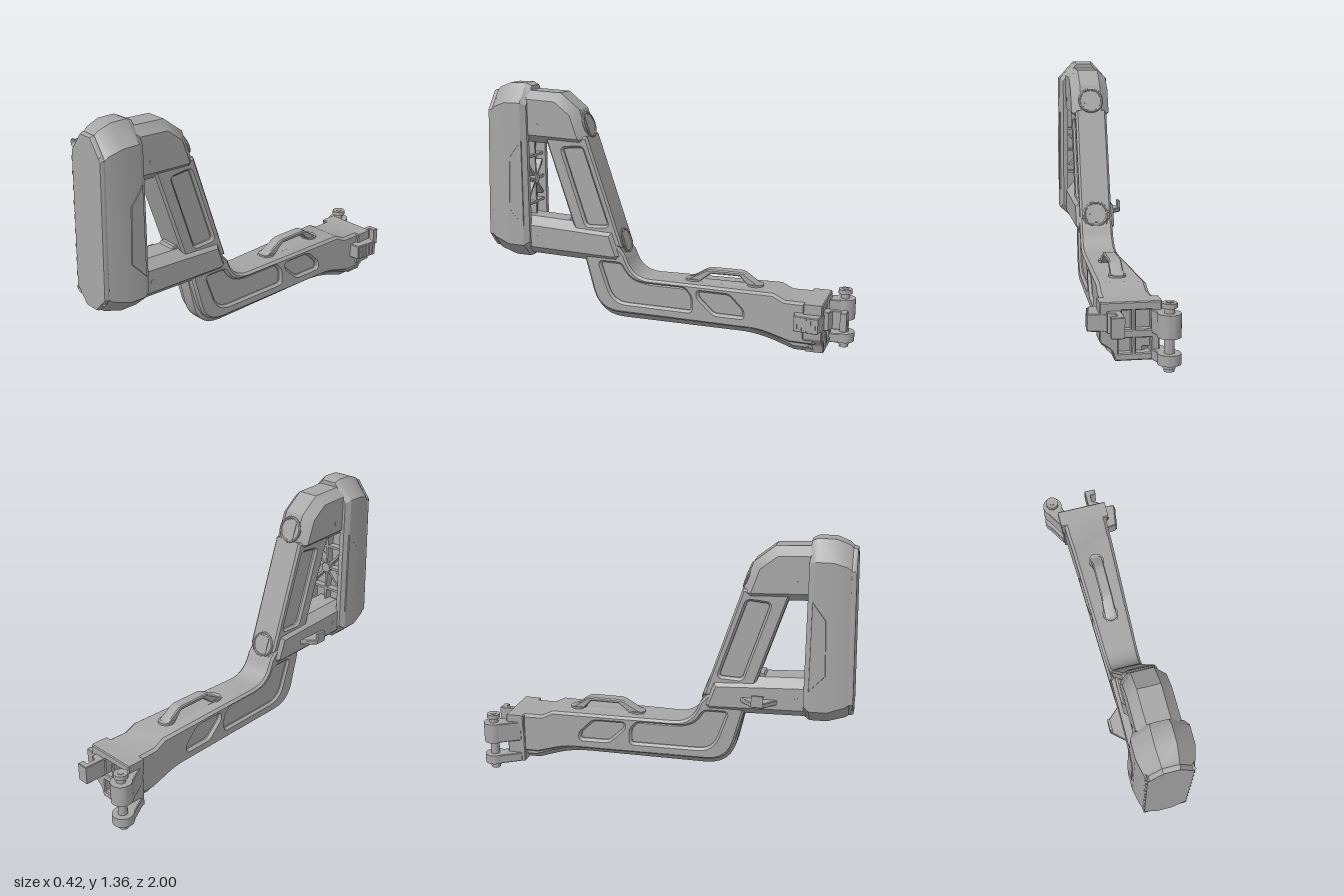
import * as THREE from 'three';
import { toCreasedNormals } from 'three/addons/utils/BufferGeometryUtils.js';

const grey = new THREE.MeshStandardMaterial({ color: 0xa6a6a6 });
grey.name = 'grey polymer';
const CX = 0.005; // centre line of the stock

export function createModel() {
  const model = new THREE.Group();
  model.name = 'foldingStock';

  const add = (name, geo, x = 0, y = 0, z = 0) => {
    const mesh = new THREE.Mesh(toCreasedNormals(geo, 0.5), grey);
    mesh.name = name;
    mesh.position.set(x, y, z);
    model.add(mesh);
    return mesh;
  };
  const box = (name, w, h, d, x, y, z) => add(name, new THREE.BoxGeometry(w, h, d), x, y, z);
  const cyl = (name, r, y0, y1, x, z, n = 28) =>
    add(name, new THREE.CylinderGeometry(r, r, y1 - y0, n), x, (y0 + y1) / 2, z);

  // closed outline; a third number on a point rounds that corner
  const outline = (pts) => {
    const s = new THREE.Shape();
    pts.forEach(([x, y, r = 0], i) => {
      const toward = (q) => {
        const dx = q[0] - x, dy = q[1] - y, k = r / Math.hypot(dx, dy);
        return [x + dx * k, y + dy * k];
      };
      const a = toward(pts.at(i - 1)), b = toward(pts[(i + 1) % pts.length]);
      if (i) s.lineTo(...a); else s.moveTo(...a);
      if (r) s.quadraticCurveTo(x, y, ...b);
    });
    s.closePath();
    return s;
  };
  const extrude = (shape, total, size = 0, thick = size) => {
    const depth = total - 2 * thick;
    const geo = new THREE.ExtrudeGeometry(shape, {
      depth, curveSegments: 6, bevelEnabled: size > 0, bevelSegments: 1,
      bevelSize: size, bevelThickness: thick, bevelOffset: -size,
    });
    return geo.translate(0, 0, -depth / 2);
  };
  // side profile in (z, y), extruded across x
  const profile = (pts, half, size, thick, holes = []) => {
    const s = outline(pts);
    s.holes = holes.map(outline);
    return extrude(s, half * 2, size, thick).rotateY(-Math.PI / 2);
  };
  // plan outline in (x, z), between two heights
  const plan = (pts, y0, y1, bevel = 0.004) =>
    extrude(outline(pts), y1 - y0, bevel).rotateX(Math.PI / 2).translate(0, (y0 + y1) / 2, 0);
  const moveVertices = (geo, rule) => {
    const p = geo.attributes.position, v = new THREE.Vector3();
    for (let i = 0; i < p.count; i++) {
      rule(v.fromBufferAttribute(p, i));
      p.setXYZ(i, v.x, v.y, v.z);
    }
    geo.computeVertexNormals();
    return geo;
  };

  // ---- recoil pad: lofted octagons with a hollow back
  const lean = (v) => { if (v.z > 0.9) v.z += (0.88 - v.y) * 0.03; };
  const octagon = (w, b, t) => [
    [w, b + 0.08], [w, t - 0.1], [w * 0.35, t], [-w * 0.35, t],
    [-w, t - 0.1], [-w, b + 0.08], [-w * 0.35, b], [w * 0.35, b]];
  const rings = [ // z, half width, bottom, top
    [0.80, 0.095, 0.46, 1.30], [0.745, 0.095, 0.46, 1.30], [0.745, 0.122, 0.42, 1.345],
    [0.775, 0.14, 0.40, 1.36], [0.865, 0.14, 0.402, 1.36], [0.945, 0.122, 0.432, 1.335],
    [0.962, 0.116, 0.445, 1.318]];
  const pos = [], idx = [];
  rings.forEach(([z, w, b, t], i) => {
    octagon(w, b, t).forEach(([x, y]) => pos.push(x, y, z));
    for (let j = 0; j < 8 && i < rings.length - 1; j++) {
      const a = i * 8 + j, c = i * 8 + (j + 1) % 8;
      idx.push(a, c, c + 8, a, c + 8, a + 8);
    }
  });
  const last = (rings.length - 1) * 8;
  for (let j = 1; j < 7; j++) idx.push(0, j + 1, j, last, last + j, last + j + 1);
  const pad = new THREE.BufferGeometry();
  pad.setAttribute('position', new THREE.Float32BufferAttribute(pos, 3));
  pad.setIndex(idx);
  add('recoilPad', moveVertices(pad, lean), CX);

  // grooved front face
  const face = outline(octagon(0.116, 0.445, 1.318));
  for (let i = 0; i < 11; i++) {
    const y = 0.517 + i * 0.0735, slot = new THREE.Path();
    slot.absarc(0.092, y, 0.018, -Math.PI / 2, Math.PI / 2);
    slot.absarc(-0.092, y, 0.018, Math.PI / 2, Math.PI * 1.5);
    slot.closePath();
    face.holes.push(slot);
  }
  add('groovedFace', moveVertices(extrude(face, 0.035, 0.006, 0.012).translate(0, 0, 0.9675), lean), CX);
  for (const s of [1, -1]) {
    add('padSidePanel', profile([[0.77, 1.06], [0.84, 0.97], [0.853, 0.68], [0.77, 0.59]], 0.004, 0.002),
      CX + s * 0.14);
  }
  // lattice inside the pad
  for (const [angle, length] of [[0, 0.19], [90, 0.8], [48, 0.25], [-48, 0.25]]) {
    box('padRib', length, 0.013, 0.045, CX, 0.83, 0.78).rotation.z = angle * Math.PI / 180;
  }
  for (const y of [0.7, 0.96]) box('padCrossRib', 0.19, 0.013, 0.045, CX, y, 0.78);
  add('padHub', new THREE.CylinderGeometry(0.028, 0.028, 0.055, 20).rotateX(Math.PI / 2), CX, 0.83, 0.778);

  // ---- upper and lower arms
  add('upperArm', profile([[0.79, 1.325], [0.57, 1.315], [0.463, 1.23], [0.405, 1.065],
    [0.44, 1.03], [0.79, 1.045]], 0.107, 0.045, 0.05), CX);
  add('lowerArm', profile([[0.79, 0.635], [0.5, 0.62], [0.255, 0.605], [0.198, 0.445],
    [0.24, 0.405], [0.79, 0.425]], 0.107, 0.045, 0.05), CX);
  // round caps on the sloping back, and cross pins
  const slope = Math.atan2(0.21, 0.627);
  for (const [y, z] of [[1.145, 0.432], [0.525, 0.227]]) {
    const cap = new THREE.Group();
    cap.name = 'hubCap';
    const parts = [
      new THREE.TorusGeometry(0.064, 0.008, 8, 36),
      new THREE.CylinderGeometry(0.06, 0.06, 0.006, 32).rotateX(Math.PI / 2),
      new THREE.BoxGeometry(0.07, 0.095, 0.012)];
    parts.forEach((g) => cap.add(new THREE.Mesh(toCreasedNormals(g, 0.5), grey)));
    cap.position.set(CX, y, z);
    cap.rotation.x = slope;
    model.add(cap);
  }
  for (const [y, z] of [[1.14, 0.69], [0.525, 0.71]]) {
    add('crossPin', new THREE.CylinderGeometry(0.011, 0.011, 0.218, 16).rotateZ(Math.PI / 2), CX, y, z);
  }
  add('armBoss', new THREE.CylinderGeometry(0.03, 0.03, 0.1, 6).rotateZ(Math.PI / 2), CX, 0.61, 0.515);

  // ---- sloping strut with sunk side panels
  const strut = [[0.66, 1.09], [0.413, 1.09], [0.216, 0.5], [0.465, 0.5]];
  add('strutCore', profile(strut, 0.066, 0.01), CX);
  add('strutFrame', profile(strut, 0.088, 0.012, 0.012, [
    [[0.555, 1.02, 0.02], [0.44, 1.03, 0.02], [0.30, 0.615, 0.02], [0.42, 0.61, 0.02]]]), CX);

  // ---- cranked beam, widening toward the hinge
  const widen = (v) => { v.x *= 1 + (0.3 - v.z) * 0.4; };
  const beamTop = [[-0.84, 0.31], [-0.68, 0.31], [-0.62, 0.34], [0.155, 0.34, 0.1], [0.2, 0.46], [0.25, 0.52], [0.42, 0.52]];
  add('beamCore', moveVertices(profile([[0.437, 0.42], [0.365, 0.1, 0.14], [-0.53, 0.1, 0.1],
    [-0.725, 0.035], [-0.84, 0.035], ...beamTop], 0.07, 0.035, 0.03), widen), CX);
  add('beamFrame', moveVertices(profile([[0.435, 0.42], [0.358, 0.135, 0.12], [-0.55, 0.135, 0.05],
    [-0.71, 0.09], [-0.84, 0.09], ...beamTop], 0.088, 0.012, 0.012, [
    [[0.345, 0.41, 0.02], [0.225, 0.41, 0.02], [0.17, 0.315, 0.08], [-0.137, 0.315, 0.02],
      [-0.174, 0.27, 0.02], [-0.174, 0.195, 0.015], [0.27, 0.195, 0.08]],
    [[-0.217, 0.303, 0.01], [-0.383, 0.303, 0.02], [-0.458, 0.228, 0.015],
      [-0.458, 0.195, 0.01], [-0.303, 0.195, 0.02], [-0.217, 0.276, 0.015]]]), widen), CX);

  // ---- sling bridge on top of the beam
  add('slingBridge', profile([[-0.105, 0.33], [-0.245, 0.41, 0.02], [-0.435, 0.41, 0.02], [-0.55, 0.33]],
    0.032, 0.006, 0.006, [[[-0.205, 0.343], [-0.265, 0.388], [-0.42, 0.388], [-0.465, 0.343]]]), CX);
  for (const z of [-0.165, -0.5]) cyl('bridgeFoot', 0.044, 0.33, 0.35, CX, z);

  // ---- end block with pockets
  const end = outline([[-0.13, 0.035], [0.075, 0.035], [0.09, 0.085, 0.02], [0.147, 0.125, 0.01],
    [0.147, 0.31], [-0.14, 0.31], [-0.14, 0.25], [-0.13, 0.2]]);
  for (const [x0, x1, y0, y1] of [[-0.09, -0.02, 0.07, 0.14], [0.0, 0.06, 0.07, 0.14],
    [-0.09, -0.02, 0.18, 0.27], [0.0, 0.045, 0.18, 0.27]]) {
    end.holes.push(outline([[x0, y0], [x1, y0], [x1, y1], [x0, y1]]));
  }
  add('endBlock', extrude(end, 0.1, 0.005), 0, 0, -0.83);

  // ---- hinge knuckles and pin
  const hx = -0.16, hz = -0.945;
  for (const [y0, y1] of [[0.035, 0.085], [0.16, 0.27]]) {
    cyl('hingeKnuckle', 0.055, y0, y1, hx, hz, 36);
    add('hingeArm', plan([[-0.212, -0.93], [-0.12, -0.97], [-0.09, -0.87], [-0.09, -0.8], [-0.135, -0.8]], y0, y1));
  }
  cyl('hingePin', 0.024, 0, 0.3, hx, hz);
  cyl('pinHead', 0.036, 0.295, 0.318, hx, hz);
  cyl('pinHeadRecess', 0.018, 0.316, 0.321, hx, hz, 6);
  cyl('pinCollar', 0.03, 0.015, 0.04, hx, hz);

  // ---- latch hook and ribbed release button
  add('latchHook', plan([[0.05, -0.995], [0.112, -0.995], [0.112, -0.962], [0.08, -0.962], [0.08, -0.92],
    [0.115, -0.905], [0.115, -0.86], [0.05, -0.86]], 0.172, 0.27, 0.003));
  add('releaseButton', plan([[0.11, -0.885], [0.203, -0.868], [0.183, -0.74], [0.11, -0.73]], 0.175, 0.258));
  for (let i = 0; i < 5; i++) {
    const z = -0.85 + i * 0.024;
    box('buttonRib', 0.016, 0.076, 0.012, 0.2 - (z + 0.868) * 0.156, 0.2165, z);
  }

  // ---- sling lug on the right of the lower arm
  add('slingLug', plan([[-0.172, 0.485], [-0.172, 0.548], [-0.09, 0.62], [-0.09, 0.41]], 0.49, 0.516));
  box('slingLugLip', 0.014, 0.06, 0.062, -0.167, 0.525, 0.516);

  return model;
}
